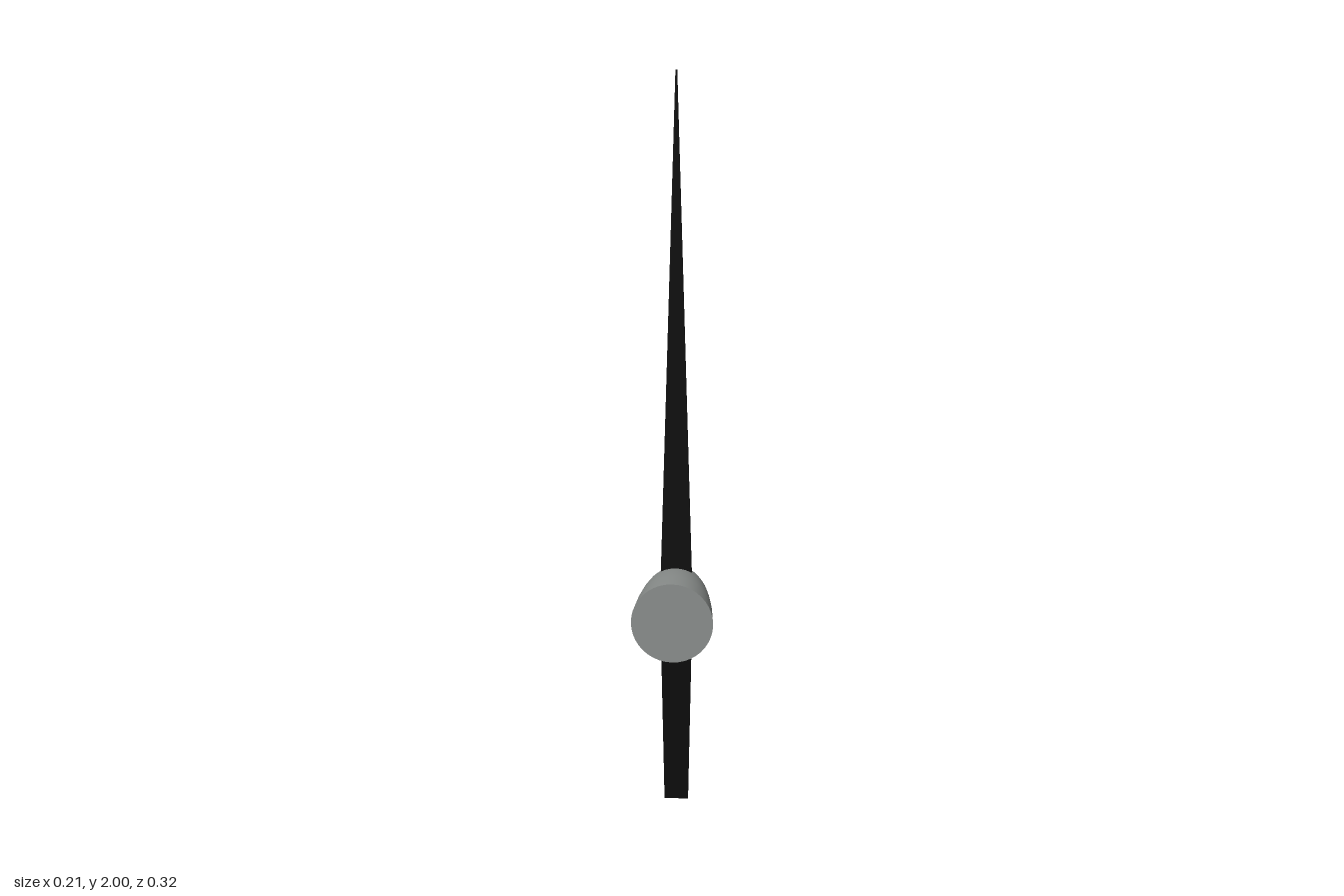
import * as THREE from 'three';

const spinnerGrey = new THREE.MeshStandardMaterial({ color: 0x8b8f8d });
spinnerGrey.name = 'spinner grey';
const bladeBlack = new THREE.MeshStandardMaterial({ color: 0x0a0a0a });
bladeBlack.name = 'blade black';

const HUB_Y = 0.593;

// Flat tapered blade: half widths at the root and the end
function blade(name, endY, rootHalf, endHalf) {
  const s = new THREE.Shape([
    new THREE.Vector2(-rootHalf, HUB_Y),
    new THREE.Vector2(rootHalf, HUB_Y),
    new THREE.Vector2(endHalf, endY),
    new THREE.Vector2(-endHalf, endY),
  ]);
  const g = new THREE.ExtrudeGeometry(s, { depth: 0.009, bevelEnabled: false });
  const m = new THREE.Mesh(g, bladeBlack);
  m.name = name;
  m.position.set(0.001, 0, 0.002);
  return m;
}

export function createModel() {
  const model = new THREE.Group();
  model.name = 'propeller';

  // Bullet-shaped spinner pointing to -z, with a small pointed tip
  const hub = new THREE.Group();
  hub.name = 'spinner';
  hub.position.y = HUB_Y;
  hub.scale.y = 1.04;
  const profile = [
    [0, -0.162], [0.012, -0.135], [0.03, -0.121], [0.047, -0.099], [0.06, -0.073],
    [0.073, -0.04], [0.085, 0], [0.094, 0.045], [0.101, 0.095], [0.1065, 0.161],
  ].map(([r, z]) => new THREE.Vector2(r, z));
  const shell = new THREE.Mesh(new THREE.LatheGeometry(profile, 40).rotateX(Math.PI / 2), spinnerGrey);
  shell.name = 'spinnerShell';

  // Flat disc closing the wide end
  const cap = new THREE.Mesh(new THREE.CircleGeometry(0.1065, 40), spinnerGrey);
  cap.name = 'spinnerCap';
  cap.position.z = 0.161;
  hub.add(shell, cap);

  model.add(hub, blade('longBlade', 2, 0.043, 0.002), blade('shortBlade', 0, 0.043, 0.032));
  return model;
}
